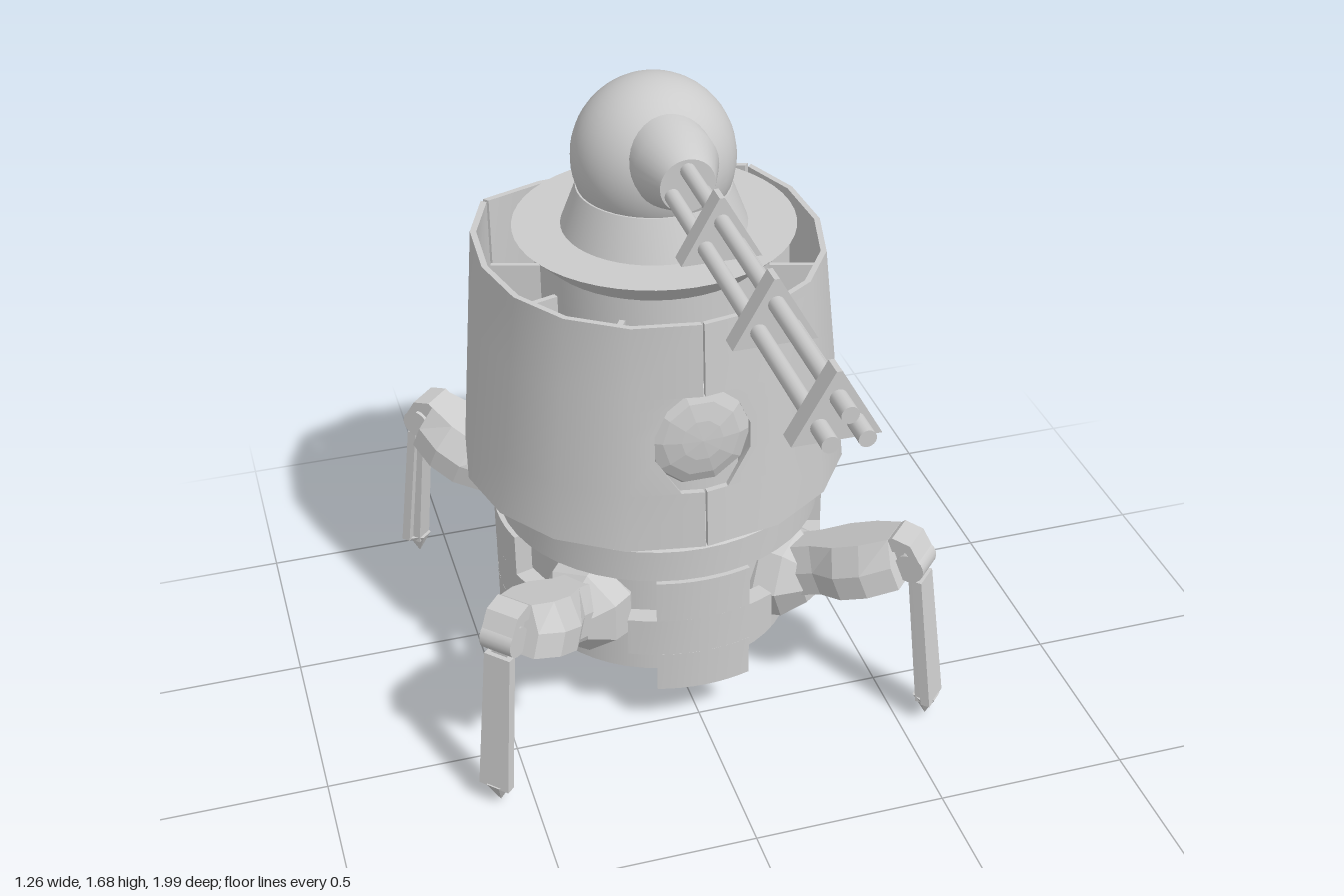
import * as THREE from 'three';
import { toCreasedNormals } from 'three/addons/utils/BufferGeometryUtils.js';

const mat = new THREE.MeshStandardMaterial({ color: 0xcccccc, side: THREE.DoubleSide });
const flat = new THREE.MeshStandardMaterial({ color: 0xcccccc, side: THREE.DoubleSide, flatShading: true });
const CZ = -0.385; // z of the body axis

function add(parent, name, geo, pos = [0, 0, 0], rot = [0, 0, 0], material = mat) {
  const m = new THREE.Mesh(geo, material);
  m.name = name;
  m.position.set(...pos);
  m.rotation.set(...rot);
  parent.add(m);
  return m;
}

const lathe = (pts, sides = 48) =>
  toCreasedNormals(new THREE.LatheGeometry(pts.map(p => new THREE.Vector2(...p)), sides), 0.5);

// Closed profile in xy, extruded and centred along z
function prism(pts, depth, steps = 1) {
  const s = new THREE.Shape(pts.map(p => new THREE.Vector2(...p)));
  return new THREE.ExtrudeGeometry(s, { depth, steps, bevelEnabled: false }).translate(0, 0, -depth / 2);
}

// Slab with a grid of cols x rows; place(col, row, t) gives each point, t = 0 inside and 1 outside
function slab(cols, rows, place) {
  const g = new THREE.BoxGeometry(1, 1, 1, cols, rows, 1);
  const p = g.attributes.position;
  for (let i = 0; i < p.count; i++) {
    p.setXYZ(i, ...place(Math.round((p.getX(i) + 0.5) * cols), Math.round((p.getY(i) + 0.5) * rows), p.getZ(i) + 0.5));
  }
  return toCreasedNormals(g, 0.6);
}

// Hull plan outlines [x, z], foot and top
const SIDE_FOOT = [[0.003, 0.07], [0.2, 0.035], [0.36, -0.07], [0.465, -0.22], [0.51, -0.4], [0.478, -0.6], [0.37, -0.738]];
const SIDE_TOP = [[0.003, 0.037], [0.17, 0.008], [0.31, -0.085], [0.4, -0.22], [0.442, -0.39], [0.432, -0.58], [0.37, -0.738]];
const BACK_FOOT = [[0.363, -0.745], [0.22, -0.868], [0, -0.9], [-0.22, -0.868], [-0.363, -0.745]];
const BACK_TOP = [[0.363, -0.745], [0.2, -0.805], [0, -0.826], [-0.2, -0.805], [-0.363, -0.745]];

// Half width of the egg-shaped front opening at each height
const OPENING = [[0.605, 0], [0.765, 0], [0.765, 0.06], [0.86, 0.122], [0.93, 0.122], [1.0, 0.09], [1.035, 0.05], [1.035, 0], [1.23, 0]];

function hullPoint(foot, top, i, y, t) {
  const v = (y - 0.605) / 0.625;
  const k = 0.965 + 0.035 * t;
  const mix = c => foot[i][c] + (top[i][c] - foot[i][c]) * v;
  return [mix(0) * k, y, CZ + (mix(1) - CZ) * k];
}

function buildHull(root) {
  for (const s of [1, -1]) {
    const panel = slab(6, 8, (c, row, t) => {
      const i = s > 0 ? c : 6 - c;
      const [y, w] = OPENING[row];
      const p = hullPoint(SIDE_FOOT, SIDE_TOP, i, y, t);
      if (i === 0 && w > 0) { // cut the front edge back around the opening
        const q = hullPoint(SIDE_FOOT, SIDE_TOP, 1, y, t);
        p[2] += (q[2] - p[2]) * (w - p[0]) / (q[0] - p[0]);
        p[0] = w;
      }
      return [s * p[0], p[1], p[2]];
    });
    add(root, s > 0 ? 'leftHullPanel' : 'rightHullPanel', panel);
  }
  add(root, 'backHullPanel', slab(4, 1, (c, row, t) => hullPoint(BACK_FOOT, BACK_TOP, c, row ? 1.23 : 0.605, t)));

  const lens = add(root, 'frontLens', new THREE.SphereGeometry(1, 10, 8).rotateX(Math.PI / 2), [0, 0.9, -0.01], [0, 0, 0], flat);
  lens.scale.set(0.14, 0.15, 0.047);

  // Core and the ribs that carry the hull
  add(root, 'core', lathe([[0, 0.57], [0.4, 0.57], [0.4, 0.61], [0.29, 0.61], [0.29, 1.235], [0, 1.235]]), [0, 0, CZ]);
  for (const a of [0.55, 1.28, 1.86, 2.55]) for (const s of [-1, 1]) {
    add(root, 'hullRib', new THREE.BoxGeometry(0.015, 0.56, 0.13),
      [Math.sin(a * s) * 0.35, 0.89, CZ + Math.cos(a) * 0.35], [0, a * s, 0]);
  }
}

function buildBase(root) {
  // Collar and open skirt
  add(root, 'collar', lathe([[0, 0.585], [0.425, 0.585], [0.43, 0.58], [0.43, 0.49], [0.35, 0.49], [0, 0.49]]), [0, 0, CZ]);
  add(root, 'skirt', lathe([[0.358, 0.5], [0.358, 0.145], [0.335, 0.145], [0.335, 0.5]]), [0, 0, CZ]);
  // Cross-shaped armour plates on four sides: [y, half width]
  const rows = [[0.145, 0.125], [0.26, 0.125], [0.26, 0.195], [0.37, 0.195], [0.37, 0.125], [0.49, 0.125]];
  for (let k = 0; k < 4; k++) {
    add(root, 'skirtPlate', slab(8, 5, (c, row, t) => {
      const [y, w] = rows[row];
      const a = k * Math.PI / 2 + Math.asin(w / 0.443) * (c / 4 - 1);
      const r = 0.395 + 0.048 * t;
      return [Math.sin(a) * r, y, CZ + Math.cos(a) * r];
    }));
  }
}

// Leg in its own frame: +x points outward from the body axis
function buildLeg() {
  const leg = new THREE.Group();
  leg.name = 'leg';
  const socket = new THREE.LatheGeometry([[0, -0.07], [0.1, -0.07], [0.135, 0], [0.125, 0.06], [0.07, 0.12], [0, 0.12]].map(p => new THREE.Vector2(...p)), 7);
  add(leg, 'hipSocket', socket, [0.35, 0.34, 0], [0, 0, -Math.PI / 2], flat);
  add(leg, 'hipInnerCap', new THREE.CylinderGeometry(0.06, 0.06, 0.03, 24), [0.275, 0.34, 0], [0, 0, Math.PI / 2]);

  // Upper arm under a folded cover that widens toward the knee
  const arm = new THREE.Group();
  arm.name = 'upperLeg';
  arm.position.set(0.42, 0.365, 0);
  arm.rotation.z = 0.41;
  leg.add(arm);
  add(arm, 'armBeam', new THREE.BoxGeometry(0.36, 0.06, 0.07), [0.17, 0, 0]);
  const widths = [0.62, 0.66, 1, 1, 0.72], len = 0.32;
  const cover = prism([[-0.11, -0.065], [0.11, -0.065], [0.11, 0], [0.062, 0.065], [-0.062, 0.065], [-0.11, 0]], len, 4);
  const p = cover.attributes.position;
  for (let i = 0; i < p.count; i++) p.setX(i, p.getX(i) * widths[Math.round((p.getZ(i) / len + 0.5) * 4)]);
  add(arm, 'armCover', cover, [0.165, 0.01, 0], [0, Math.PI / 2, 0], flat);

  // Knee
  add(leg, 'kneePivot', new THREE.CylinderGeometry(0.04, 0.04, 0.09, 20), [0.75, 0.49, 0], [Math.PI / 2, 0, 0]);
  add(leg, 'kneeHood', prism([[0.68, 0.555], [0.7, 0.572], [0.75, 0.562], [0.785, 0.505], [0.77, 0.495], [0.74, 0.538], [0.68, 0.525]], 0.09));

  // Shin plates, wider and further out toward the foot, and a pointed tip
  const shin = (name, x, thick, w0, w1, y0, y1) => {
    const g = new THREE.BoxGeometry(thick, 1, 1);
    const q = g.attributes.position;
    for (let i = 0; i < q.count; i++) {
      const top = q.getY(i) > 0;
      q.setXYZ(i, q.getX(i) + x + (top ? 0 : 0.05), top ? y1 : y0, q.getZ(i) * (top ? w1 : w0));
    }
    add(leg, name, g, [0, 0, 0], [0, 0, 0], flat);
  };
  shin('shinOuterPlate', 0.772, 0.025, 0.088, 0.075, 0.06, 0.45);
  shin('shinCore', 0.752, 0.03, 0.05, 0.045, 0.05, 0.5);
  add(leg, 'footTip', new THREE.ConeGeometry(0.036, 0.065, 6), [0.807, 0.0325, 0], [Math.PI, 0, 0], flat);
  return leg;
}

function buildTurret(root) {
  add(root, 'turretDish', lathe([[0, 1.23], [0.29, 1.23], [0.357, 1.295], [0.235, 1.295], [0, 1.295]]), [0, 0, CZ]);
  add(root, 'turretNeck', lathe([[0.235, 1.295], [0.195, 1.4], [0, 1.4]]), [0, 0, CZ]);
  add(root, 'turretBall', new THREE.SphereGeometry(0.205, 40, 28), [0, 1.475, CZ]);
  add(root, 'gunMount', lathe([[0, -0.3], [0.105, -0.3], [0.105, -0.18], [0.068, -0.087], [0, -0.087]], 32), [0, 1.533, 0], [Math.PI / 2, 0, 0]);
  // Three barrels held by triangular clamps
  for (const [x, y] of [[0, 1.573], [-0.038, 1.512], [0.038, 1.512]]) {
    add(root, 'gunBarrel', new THREE.CylinderGeometry(0.019, 0.019, 1.12, 16), [x, y, 0.44], [Math.PI / 2, 0, 0]);
  }
  for (const z of [0.155, 0.533, 0.91]) {
    add(root, 'barrelClamp', prism([[-0.095, 1.475], [0.095, 1.475], [0.006, 1.632], [-0.006, 1.632]], 0.048), [0, 0, z]);
  }
}

export function createModel() {
  const root = new THREE.Group();
  root.name = 'walkerTurret';
  buildHull(root);
  buildBase(root);
  buildTurret(root);
  for (const side of [0, Math.PI]) for (const s of [-1, 1]) {
    const leg = buildLeg();
    leg.position.z = CZ;
    leg.rotation.y = side + s * 0.765;
    root.add(leg);
  }
  return root;
}
